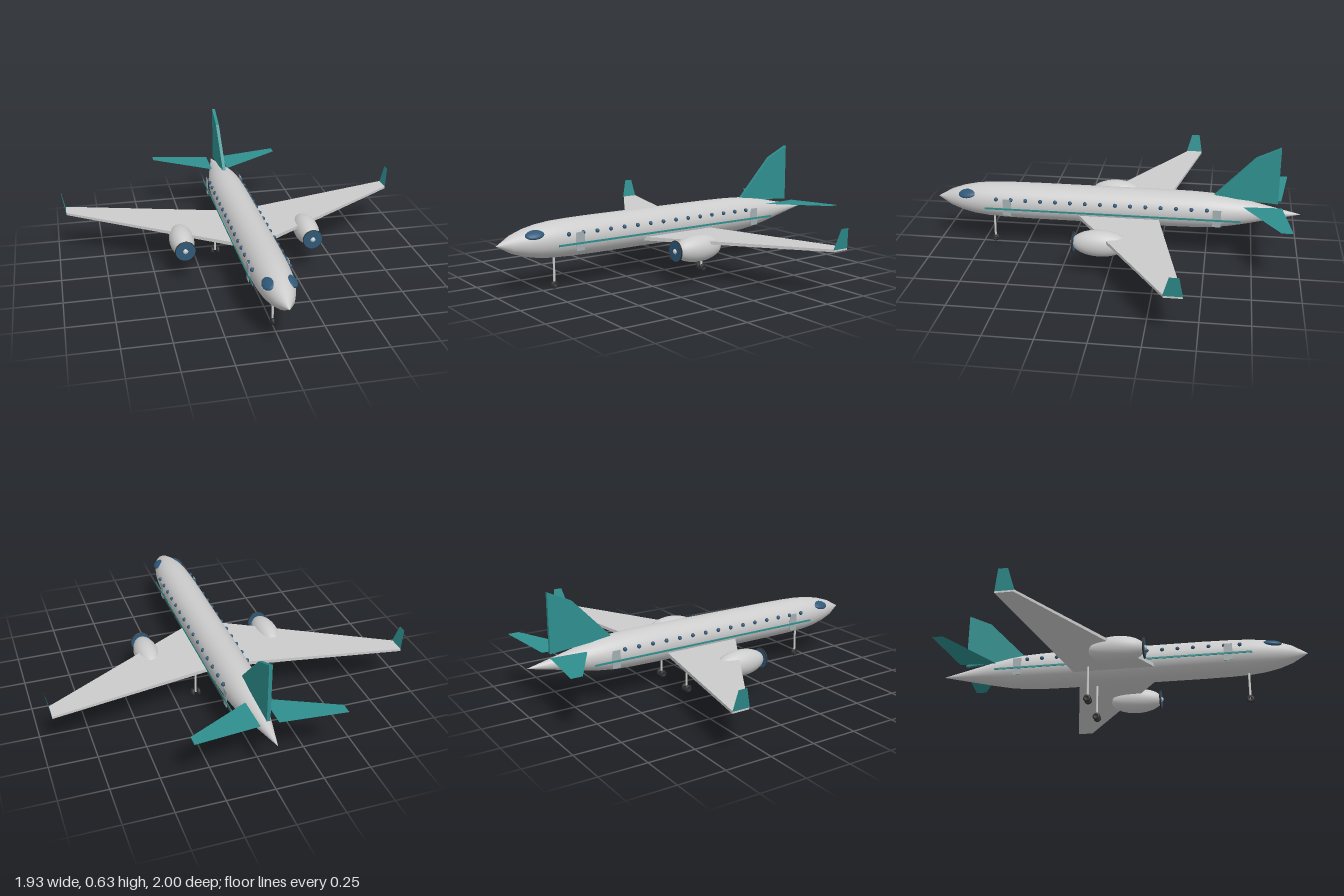
import * as THREE from 'three';
import { ConvexGeometry } from 'three/addons/geometries/ConvexGeometry.js';

const mat = (color, extra = {}) => new THREE.MeshStandardMaterial({ color, ...extra });
const grey = mat(0xcccccc);
const greyFlat = mat(0xcccccc, { flatShading: true });
const teal = mat(0x2f8f8f, { flatShading: true });
const tealSheet = mat(0x2f8f8f, { side: THREE.DoubleSide });
const blue = mat(0x2f5878);
const dark = mat(0x303030);
const doorGrey = mat(0xa3adb0);
const AXIS_Y = 0.26;

function add(parent, name, geometry, material, x = 0, y = 0, z = 0) {
  const mesh = new THREE.Mesh(geometry, material);
  mesh.name = name;
  mesh.position.set(x, y, z);
  parent.add(mesh);
  return mesh;
}

const ellipsoid = (rx, ry, rz) => new THREE.SphereGeometry(1, 28, 18).scale(rx, ry, rz);

// Thin four-cornered sheet
function sheet(corners) {
  const g = new THREE.BufferGeometry();
  g.setAttribute('position', new THREE.Float32BufferAttribute(corners.flat(), 3));
  g.setIndex([0, 1, 2, 0, 2, 3]);
  g.computeVertexNormals();
  return g;
}

// Strut with a wheel at each given offset across the axle
function landingGear(parent, name, x, z, top, offsets) {
  const gear = new THREE.Group();
  gear.name = name;
  gear.position.set(x, 0, z);
  parent.add(gear);
  add(gear, 'strut', new THREE.CylinderGeometry(0.006, 0.006, top - 0.022, 10), grey, 0, (top + 0.022) / 2, 0);
  for (const dx of offsets) {
    add(gear, 'wheel', new THREE.TorusGeometry(0.012, 0.009, 10, 20).rotateY(Math.PI / 2), dark, dx, 0.021, 0);
    add(gear, 'wheelHub', new THREE.CylinderGeometry(0.009, 0.009, 0.01, 12).rotateZ(Math.PI / 2), dark, dx, 0.021, 0);
  }
  if (offsets.length > 1) {
    add(gear, 'axle', new THREE.CylinderGeometry(0.004, 0.004, 0.032, 8).rotateZ(Math.PI / 2), dark, 0, 0.021, 0);
  }
}

function addSide(plane, s) {
  const side = s > 0 ? 'left' : 'right';

  // Tapered, swept wing with slight dihedral
  const wing = [];
  for (const [x, z0, z1, y0, y1] of [[0.04, 0.22, -0.235, 0.203, 0.223], [0.945, -0.34, -0.43, 0.233, 0.246]]) {
    for (const z of [z0, z1]) for (const y of [y0, y1]) wing.push(new THREE.Vector3(s * x, y, z));
  }
  add(plane, side + 'Wing', new ConvexGeometry(wing), greyFlat);

  // Winglet leaning slightly outward
  add(plane, side + 'Winglet', sheet([
    [s * 0.945, 0.242, -0.335], [s * 0.945, 0.242, -0.43],
    [s * 0.965, 0.348, -0.412], [s * 0.965, 0.348, -0.365],
  ]), tealSheet);

  // Tailplane
  add(plane, side + 'Tailplane', sheet([
    [s * 0.047, 0.305, -0.69], [s * 0.047, 0.31, -0.895],
    [s * 0.385, 0.322, -0.94], [s * 0.385, 0.322, -0.88],
  ]), tealSheet);

  // Engine pod with intake disc, rim and spinner
  const engine = new THREE.Group();
  engine.name = side + 'Engine';
  engine.position.set(s * 0.348, 0.192, 0.037);
  plane.add(engine);
  add(engine, 'pod', ellipsoid(0.066, 0.07, 0.146), grey);
  add(engine, 'intake', new THREE.CylinderGeometry(0.052, 0.052, 0.008, 32).rotateX(Math.PI / 2), blue, 0, 0, 0.138);
  add(engine, 'intakeRim', new THREE.TorusGeometry(0.052, 0.004, 8, 32), dark, 0, 0, 0.138);
  add(engine, 'spinner', ellipsoid(0.013, 0.013, 0.01), grey, 0, 0, 0.143);

  // Cabin windows
  for (let i = 0; i < 15; i++) {
    add(plane, side + 'Window', new THREE.SphereGeometry(0.011, 12, 8), blue, s * 0.094, 0.295, 0.647 - i * 0.082);
  }

  // Side stripe and doors
  add(plane, side + 'Stripe', new THREE.BoxGeometry(0.003, 0.01, 1.39), teal, s * 0.106, 0.244, 0.015);
  for (const z of [0.585, -0.555]) {
    add(plane, side + 'Door', new THREE.BoxGeometry(0.004, 0.095, 0.045), doorGrey, s * 0.102, 0.253, z);
  }

  // Cockpit window
  const pane = add(plane, side + 'CockpitWindow', ellipsoid(0.033, 0.015, 0.05), blue, s * 0.056, 0.306, 0.817);
  pane.rotation.set(0.1, s * -0.1, s * -0.5);

  landingGear(plane, side + 'MainGear', s * 0.131, -0.155, 0.212, [-0.016, 0.016]);
}

export function createModel() {
  const plane = new THREE.Group();
  plane.name = 'airliner';

  // Fuselage: profile from tail to nose, turned about the long axis
  const profile = [
    [0, -1], [0.022, -0.9], [0.044, -0.8], [0.066, -0.7], [0.083, -0.61], [0.093, -0.53], [0.098, -0.43],
    [0.1, -0.3], [0.1, 0.45], [0.098, 0.6], [0.094, 0.7], [0.085, 0.78], [0.07, 0.85], [0.046, 0.92], [0, 1],
  ].map(([r, z]) => new THREE.Vector2(r, z));
  add(plane, 'fuselage', new THREE.LatheGeometry(profile, 40).rotateX(Math.PI / 2), grey, 0, AXIS_Y, 0);

  // Vertical fin, drawn with shape x running aft
  const fin = new THREE.Shape([[0.53, 0.345], [0.875, 0.315], [0.875, 0.632], [0.745, 0.57]]
    .map(([z, y]) => new THREE.Vector2(z, y)));
  const finGeometry = new THREE.ExtrudeGeometry(fin, { depth: 0.018, bevelEnabled: false });
  finGeometry.translate(0, 0, -0.009).rotateY(Math.PI / 2);
  add(plane, 'fin', finGeometry, teal);

  addSide(plane, 1);
  addSide(plane, -1);
  landingGear(plane, 'noseGear', 0, 0.685, 0.175, [0]);
  return plane;
}
